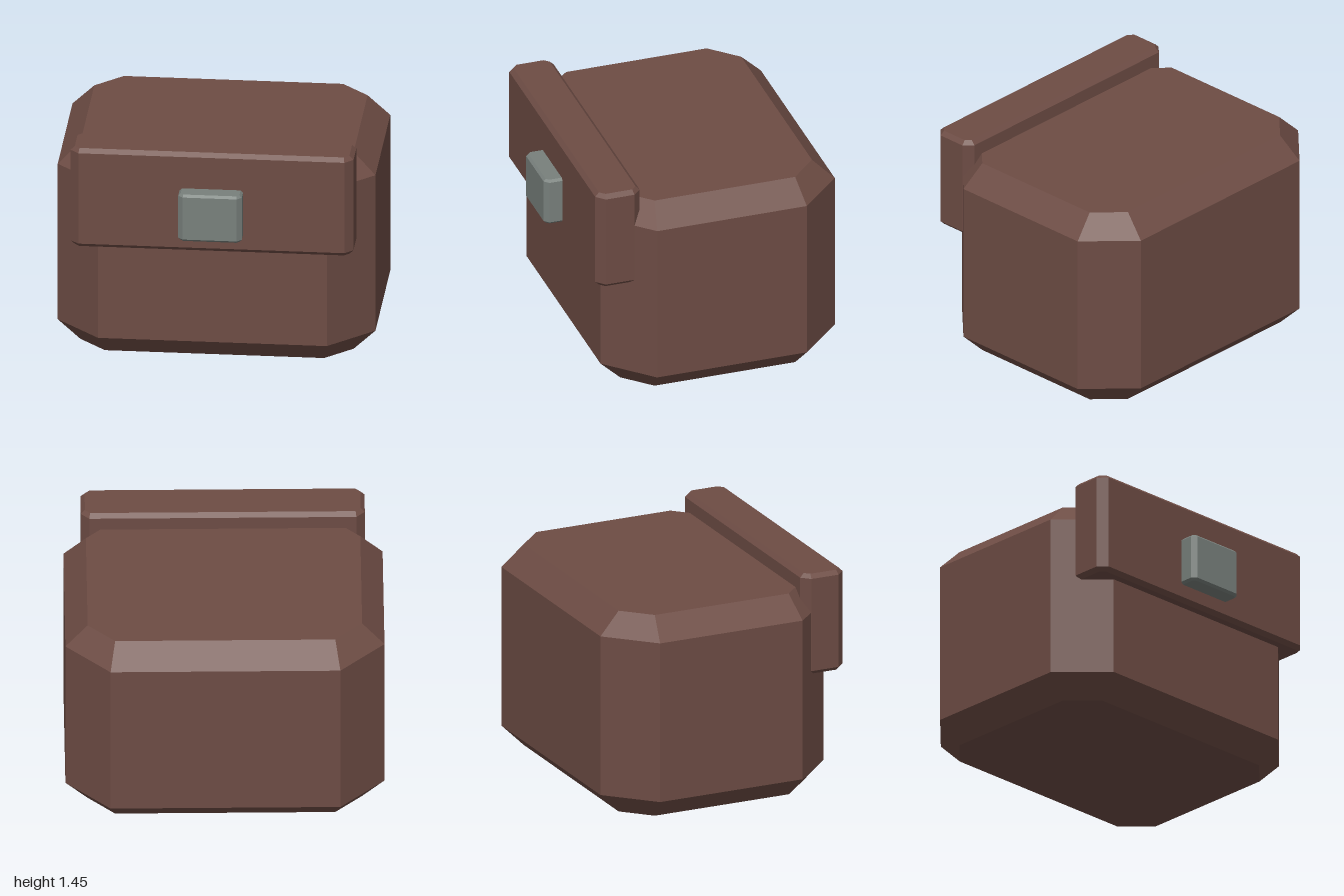
import * as THREE from 'three';

// Octagon outline: a w x d rectangle with its corners cut by c, running from +z towards +x
function octagon(w, d, c) {
  const x = w / 2, z = d / 2;
  return [
    [-x + c, z], [x - c, z], [x, z - c], [x, -z + c],
    [x - c, -z], [-x + c, -z], [-x, -z + c], [-x, z - c],
  ];
}

// Block with cut vertical corners and bevelled top and bottom, standing on y = 0
function chamferedBlock(w, h, d, corner, bevel, capCorner) {
  const wide = octagon(w, d, corner);
  const cap = octagon(w - 2 * bevel, d - 2 * bevel, capCorner);
  const rings = [[cap, 0], [wide, bevel], [wide, h - bevel], [cap, h]];
  const positions = [], index = [];
  for (const [ring, y] of rings) for (const [x, z] of ring) positions.push(x, y, z);
  for (let r = 0; r < 3; r++) {
    for (let i = 0; i < 8; i++) {
      const j = (i + 1) % 8;
      const a = r * 8 + i, b = r * 8 + j;
      index.push(a, b, b + 8, a, b + 8, a + 8);
    }
  }
  // Bottom and top caps
  for (let i = 1; i < 7; i++) index.push(0, i + 1, i, 24, 24 + i, 25 + i);
  const indexed = new THREE.BufferGeometry();
  indexed.setAttribute('position', new THREE.Float32BufferAttribute(positions, 3));
  indexed.setIndex(index);
  const geometry = indexed.toNonIndexed();
  geometry.computeVertexNormals();
  return geometry;
}

export function createModel() {
  const group = new THREE.Group();
  group.name = 'pouch';
  const leather = new THREE.MeshStandardMaterial({ color: 0x6d4c44, flatShading: true });
  const metal = new THREE.MeshStandardMaterial({ color: 0x78807c, flatShading: true });

  const add = (name, geometry, material, y, z) => {
    const mesh = new THREE.Mesh(geometry, material);
    mesh.name = name;
    mesh.position.set(0, y, z);
    group.add(mesh);
  };

  // Main bag
  add('body', chamferedBlock(2, 1.335, 1.55, 0.28, 0.14, 0.17), leather, 0, -0.095);
  // Closing flap across the upper front
  add('flap', chamferedBlock(1.78, 0.665, 0.294, 0.053, 0.026, 0.032), leather, 0.78, 0.608);
  // Clasp in the middle of the flap
  add('clasp', chamferedBlock(0.4, 0.315, 0.17, 0.03, 0.015, 0.018), metal, 0.892, 0.785);

  return group;
}
